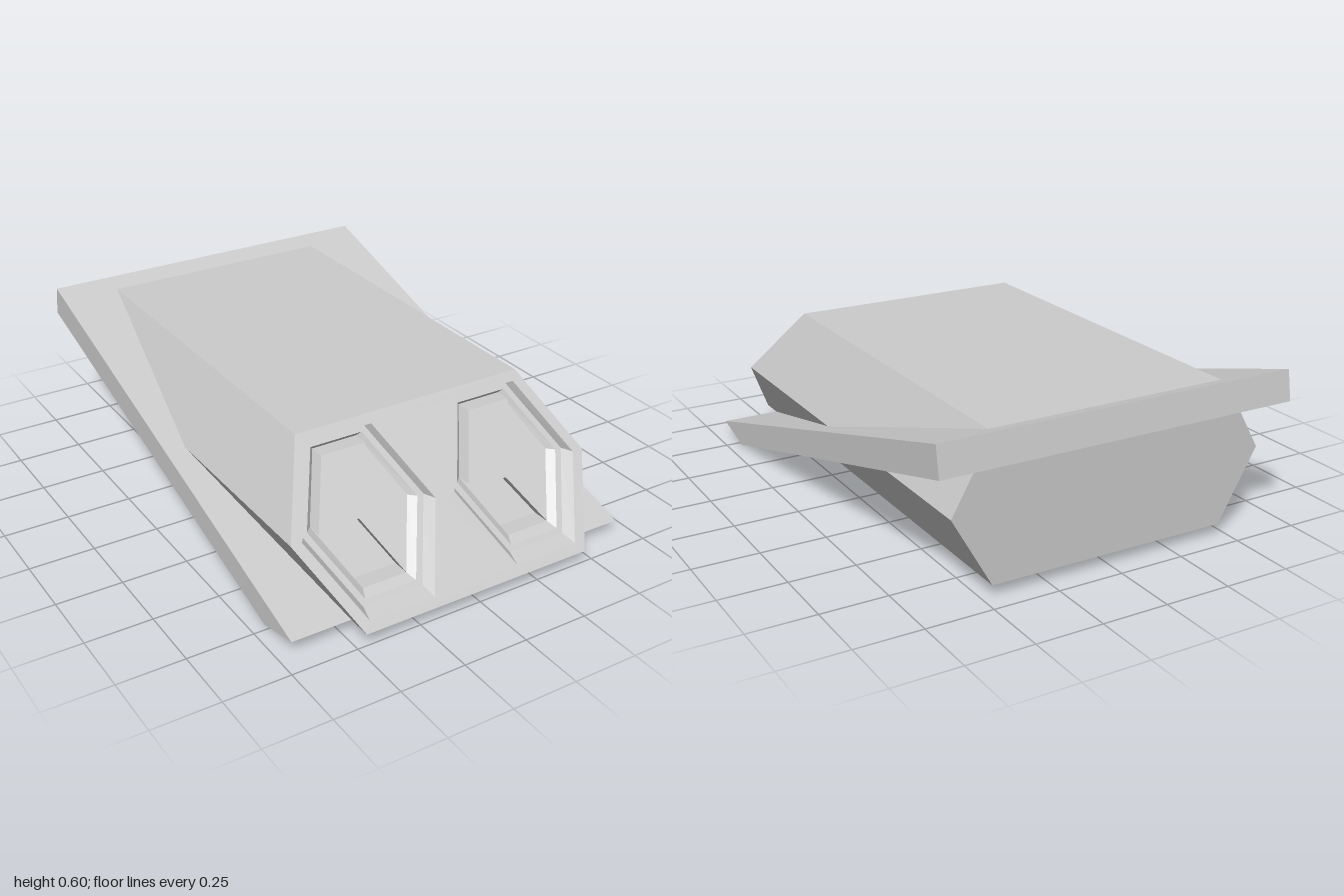
import * as THREE from 'three';

const material = new THREE.MeshStandardMaterial({ color: 0xcccccc, flatShading: true });
const CENTER_Y = 0.312;

// z of the raked front plane at a given height
const frontZ = (y) => 1 - (y - 0.045) * 0.85;

// flat-topped hexagon, counter-clockwise: half width, half height, half length of the flats
const hexagon = (cx, w, h, flat) => [[w, 0], [flat, h], [-flat, h], [-w, 0], [-flat, -h], [flat, -h]]
  .map(([x, y]) => new THREE.Vector2(cx + x, CENTER_Y + y));

function addMesh(parent, name, geometry) {
  const mesh = new THREE.Mesh(geometry, material);
  mesh.name = name;
  parent.add(mesh);
  return mesh;
}

// Shear a geometry so that its z = 0 plane lies on the raked front
function rake(geometry) {
  const p = geometry.attributes.position;
  for (let i = 0; i < p.count; i++) p.setZ(i, p.getZ(i) + frontZ(p.getY(i)));
  geometry.computeVertexNormals();
  return geometry;
}

// Skin between successive rings of 3D points
function loft(rings) {
  const pos = [];
  for (let r = 0; r < rings.length - 1; r++) {
    const a = rings[r], b = rings[r + 1];
    a.forEach((p, i) => {
      const j = (i + 1) % a.length;
      for (const v of [p, a[j], b[j], p, b[j], b[i]]) pos.push(v.x, v.y, v.z);
    });
  }
  const g = new THREE.BufferGeometry();
  g.setAttribute('position', new THREE.Float32BufferAttribute(pos, 3));
  g.computeVertexNormals();
  return g;
}

const at = (points, z) => points.map((p) => new THREE.Vector3(p.x, p.y, z(p.y)));

// Stepped hexagonal recess: [half width, half height, half flat, depth]
const STEPS = [
  [0.267, 0.238, 0.13, 0],
  [0.248, 0.222, 0.119, 0.045],
  [0.222, 0.205, 0.103, 0.045],
  [0.196, 0.19, 0.088, 0.07],
  [0.196, 0.19, 0.088, 0.2],
];

function createSocket(cx, hubY) {
  const group = new THREE.Group();
  const rings = STEPS.map(([w, h, f, d]) => at(hexagon(cx, w, h, f), (y) => frontZ(y) - d));
  addMesh(group, 'socketWalls', loft(rings));

  // Three blocks at different depths meet at an off-centre hub
  const [w, h, f] = STEPS[4];
  const c = hexagon(cx, w, h, f);
  const hub = new THREE.Vector2(cx - 0.028, CENTER_Y + hubY);
  const blocks = [
    ['upperBlock', [c[1], c[2], c[3], hub], 0.012],
    ['lowerBlock', [c[3], c[4], c[5], hub], 0.136],
    ['sideBlock', [c[5], c[0], c[1], hub], 0.07],
  ];
  for (const [name, points, depth] of blocks) {
    const g = new THREE.ExtrudeGeometry(new THREE.Shape(points), { depth: 0.2 - depth, bevelEnabled: false });
    addMesh(group, name, rake(g.translate(0, 0, -0.2)));
  }
  return group;
}

export function createModel() {
  const model = new THREE.Group();
  model.name = 'model';

  // Hexagonal hull with a raked front
  const hull = new THREE.Group();
  hull.name = 'hull';
  model.add(hull);
  const outline = hexagon(0, 0.617, 0.267, 0.465);
  addMesh(hull, 'hullSides', loft([at(outline, () => -0.93), at(outline, frontZ)]));
  const back = new THREE.ShapeGeometry(new THREE.Shape(outline));
  addMesh(hull, 'hullBack', back.rotateY(Math.PI).translate(0, 0, -0.93));

  // Front face with two openings, and a socket behind each
  const face = new THREE.Shape(outline);
  const [w, h, f] = STEPS[0];
  for (const [name, cx, hubY] of [['rightSocket', -0.307, 0.008], ['leftSocket', 0.307, -0.015]]) {
    face.holes.push(new THREE.Path(hexagon(cx, w, h, f)));
    const socket = createSocket(cx, hubY);
    socket.name = name;
    model.add(socket);
  }
  addMesh(hull, 'hullFront', rake(new THREE.ShapeGeometry(face)));

  // Tilted slab through the hull, drawn as a side profile (z, y)
  const profile = [[0.905, 0.045], [-0.98, 0.603], [-1, 0.49], [0.725, 0]];
  const slab = new THREE.ExtrudeGeometry(
    new THREE.Shape(profile.map(([z, y]) => new THREE.Vector2(-z, y))),
    { depth: 1.39, bevelEnabled: false });
  slab.translate(0, 0, -0.695).rotateY(Math.PI / 2);
  addMesh(model, 'tiltedSlab', slab);

  return model;
}
